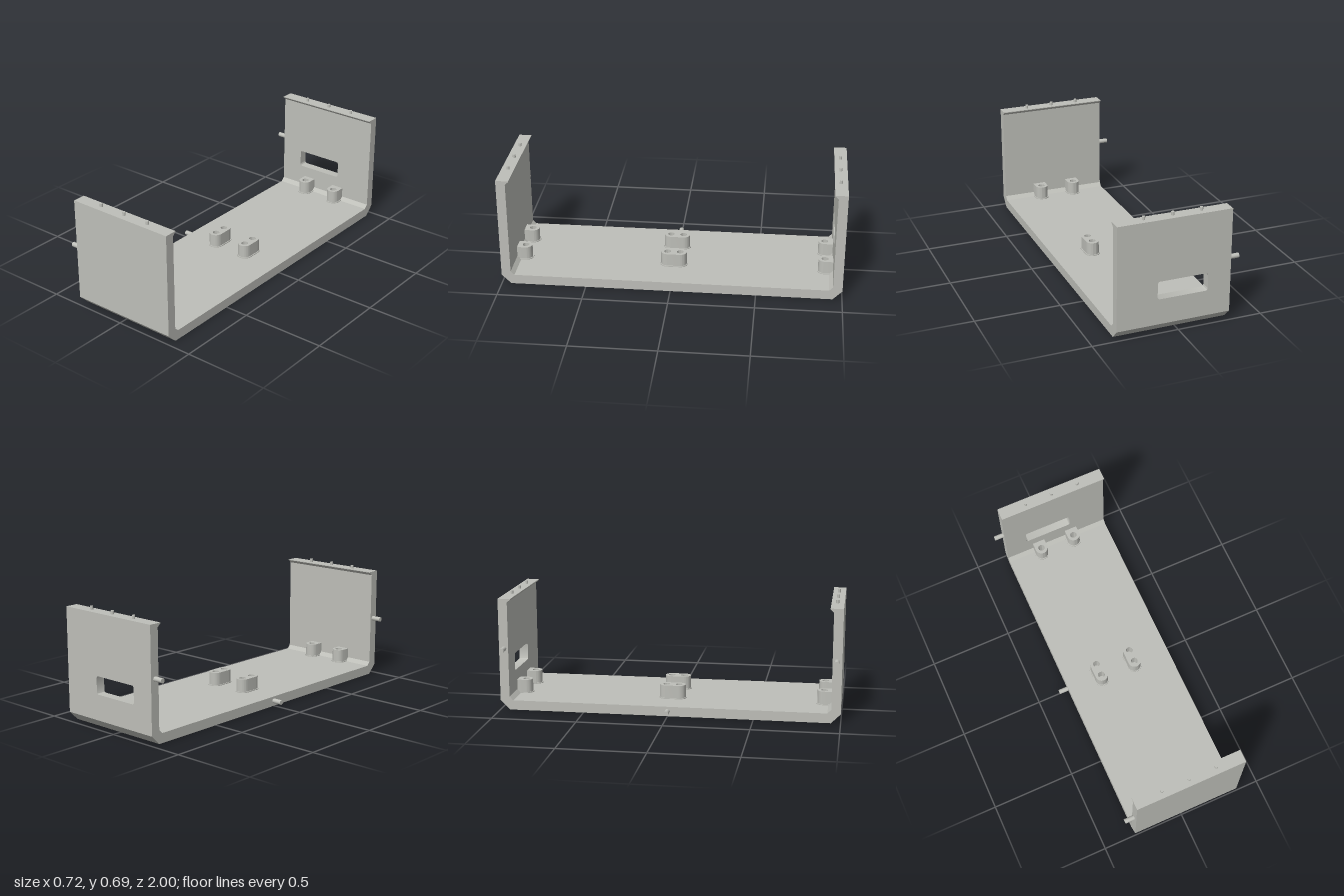
import * as THREE from 'three';
import { toCreasedNormals } from 'three/addons/utils/BufferGeometryUtils.js';

const X0 = -0.305, X1 = 0.36, WIDTH = X1 - X0;
const TOP = 0.667, FLOOR = 0.057, INNER = 0.945;

export function createModel() {
  const group = new THREE.Group();
  const grey = new THREE.MeshStandardMaterial({ color: 0xbebfb9 });
  grey.name = 'warm grey';

  const add = (geometry, name, x = 0, y = 0, z = 0) => {
    const mesh = new THREE.Mesh(geometry, grey);
    mesh.name = name;
    mesh.position.set(x, y, z);
    group.add(mesh);
    return mesh;
  };
  const extrude = (shape, depth) => toCreasedNormals(
    new THREE.ExtrudeGeometry(shape, { depth, bevelEnabled: false, curveSegments: 16 }), 0.6);

  // Side profile given as [z, y], swept across the full width
  const sweep = (points, name) => {
    const shape = new THREE.Shape(points.map(([z, y]) => new THREE.Vector2(-z, y)));
    add(extrude(shape, WIDTH).rotateY(Math.PI / 2), name, X0);
  };

  // Channel: floor, chamfered corners, front wall with lip, and foot of the back wall
  const backLow = 0.12, backHigh = 0.6;
  sweep([
    [-1, backLow], [-1, 0.055], [-0.945, 0], [0.945, 0], [1, 0.055], [1, TOP],
    [0.925, TOP], [0.925, TOP - 0.004], [INNER, 0.645],
    [INNER, FLOOR + 0.022], [INNER - 0.022, FLOOR],
    [-INNER + 0.022, FLOOR], [-INNER, FLOOR + 0.022], [-INNER, backLow],
  ], 'channelBody');
  sweep([
    [-1, backHigh], [-INNER, backHigh], [-INNER, 0.645],
    [-0.925, TOP - 0.004], [-0.925, TOP], [-1, TOP],
  ], 'backWallLip');

  // Back wall panel with a rounded slot
  const panel = new THREE.Shape([
    new THREE.Vector2(X0, backLow), new THREE.Vector2(X1, backLow),
    new THREE.Vector2(X1, backHigh), new THREE.Vector2(X0, backHigh),
  ]);
  const [l, r, b, t, c] = [-0.17, 0.125, 0.205, 0.31, 0.014];
  const slot = new THREE.Path();
  slot.absarc(r - c, t - c, c, 0, Math.PI / 2);
  slot.absarc(l + c, t - c, c, Math.PI / 2, Math.PI);
  slot.absarc(l + c, b + c, c, Math.PI, Math.PI * 1.5);
  slot.absarc(r - c, b + c, c, Math.PI * 1.5, Math.PI * 2);
  panel.holes.push(slot);
  add(extrude(panel, 1 - INNER), 'backWallPanel', 0, 0, -1);

  // Post outline: round at one end (flat at the other) or round at both ends
  const post = (radius, holes, straight, double) => {
    const shape = new THREE.Shape();
    shape.absarc(0, straight, radius, 0, Math.PI);
    if (double) shape.absarc(0, -straight, radius, Math.PI, Math.PI * 2);
    else {
      shape.lineTo(-radius, -0.052);
      shape.lineTo(radius, -0.052);
    }
    shape.closePath();
    for (const v of holes) {
      const hole = new THREE.Path();
      hole.absarc(0, v, 0.02, 0, Math.PI * 2, true);
      shape.holes.push(hole);
    }
    return shape;
  };
  const upright = (shape, height) => extrude(shape, height).rotateX(-Math.PI / 2);

  for (const x of [-0.093, 0.128]) {
    // Middle posts with two screw holes each, on a slightly wider foot
    const holes = [-0.038, 0.038];
    add(upright(post(0.039, holes, 0.038, true), 0.081), 'middlePost', x, FLOOR, 0);
    add(upright(post(0.045, holes, 0.038, true), 0.005), 'middlePostFoot', x, FLOOR, 0);
    // End posts, flat side against the walls
    for (const side of [1, -1]) {
      for (const [radius, height, name] of [[0.039, 0.081, 'endPost'], [0.045, 0.005, 'endPostFoot']]) {
        const mesh = add(upright(post(radius, [0], 0, false), height), name, x, FLOOR, side * 0.897);
        if (side < 0) mesh.rotation.y = Math.PI;
      }
    }
  }

  // Locating pins on top of both walls
  for (const z of [0.96, -0.96])
    for (const x of [-0.138, 0.028, 0.195])
      add(new THREE.CylinderGeometry(0.009, 0.009, 0.03, 20), 'topPin', x, TOP + 0.005, z);

  // Pins on the edge of the walls and floor
  for (const [y, z] of [[0.363, 0.97], [0.369, -0.97], [0.031, 0]]) {
    const pin = new THREE.CylinderGeometry(0.014, 0.014, 0.078, 24).rotateZ(Math.PI / 2);
    add(pin, 'sidePin', X0 - 0.019, y, z);
  }

  return group;
}
